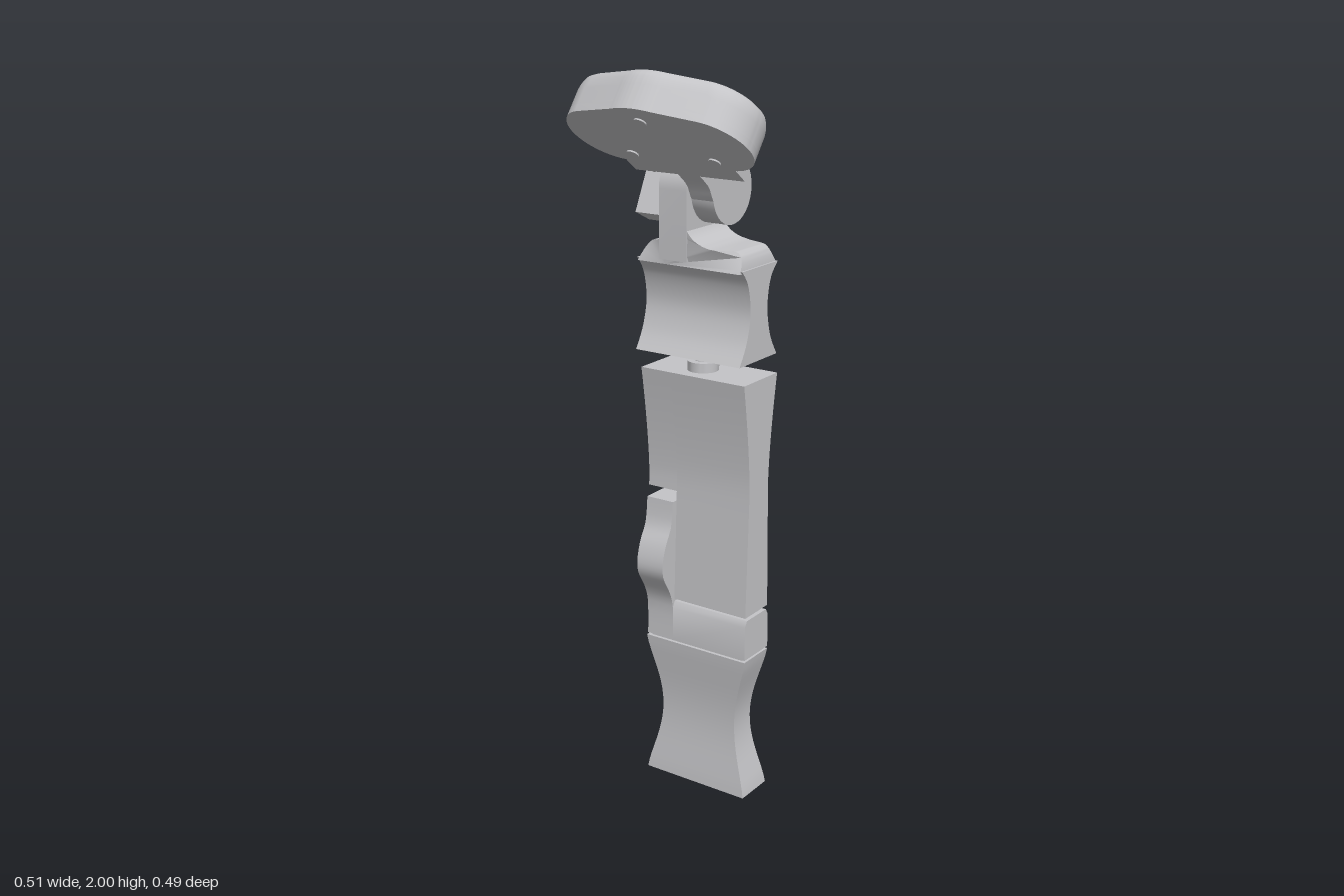
import * as THREE from 'three';
import { toCreasedNormals } from 'three/addons/utils/BufferGeometryUtils.js';

const V2 = (x, y) => new THREE.Vector2(x, y);

export function createModel() {
  const model = new THREE.Group();
  const grey = new THREE.MeshStandardMaterial({ color: 0xc4c4c7 });
  grey.name = 'light grey';

  const add = (name, geo, parent = model) => {
    const mesh = new THREE.Mesh(toCreasedNormals(geo, 0.6), grey);
    mesh.name = name;
    parent.add(mesh);
    return mesh;
  };
  // box given by its limits
  const box = (name, x0, x1, y0, y1, z0, z1, parent) => add(name,
    new THREE.BoxGeometry(x1 - x0, y1 - y0, z1 - z0)
      .translate((x0 + x1) / 2, (y0 + y1) / 2, (z0 + z1) / 2), parent);
  // side outline of [z, y] points, extruded from x0 to x1
  const sidePlate = (name, pts, x0, x1, parent) => {
    const shape = new THREE.Shape(pts.map(([z, y]) => V2(-z, y)));
    const geo = new THREE.ExtrudeGeometry(shape, { depth: x1 - x0, bevelEnabled: false });
    return add(name, geo.rotateY(Math.PI / 2).translate(x0, 0, 0), parent);
  };
  const smooth = (pts, n = 20) => new THREE.SplineCurve(pts.map(p => V2(...p)))
    .getPoints(n).map(p => [p.x, p.y]);
  const disc = (name, r, x0, x1, y, z, parent) => add(name,
    new THREE.CylinderGeometry(r, r, x1 - x0, 40).rotateZ(Math.PI / 2)
      .translate((x0 + x1) / 2, y, z), parent);

  // waisted lower handle
  const handle = new THREE.BoxGeometry(1, 1, 1, 1, 20, 1);
  const pos = handle.attributes.position;
  for (let i = 0; i < pos.count; i++) {
    const t = pos.getY(i) + 0.5, waist = Math.max(0, Math.sin(Math.PI * t)) ** 1.3;
    pos.setXYZ(i, -0.04 + pos.getX(i) * (0.325 - 0.085 * waist), t * 0.417,
      -0.141 + pos.getZ(i) * (0.116 - 0.036 * waist));
  }
  add('lowerHandle', handle);
  box('handleJoint', -0.19, 0.11, 0.41, 0.43, -0.19, -0.092);

  // elbow bracket: base and bulged side lever
  sidePlate('bracketBase', [[-0.085, 0.423], [-0.085, 0.52], [-0.095, 0.537], [-0.19, 0.537],
    [-0.2, 0.52], [-0.2, 0.423]], -0.115, 0.122);
  const lever = [
    ...smooth([[-0.085, 0.423], [-0.085, 0.52], [-0.07, 0.57], [-0.042, 0.62], [-0.038, 0.66],
      [-0.052, 0.71], [-0.078, 0.76], [-0.087, 0.83]]),
    ...smooth([[-0.198, 0.83], [-0.208, 0.76], [-0.234, 0.71], [-0.247, 0.66], [-0.243, 0.62],
      [-0.215, 0.57], [-0.2, 0.52], [-0.2, 0.423]])];
  sidePlate('sideLever', lever, -0.2, -0.115);
  disc('elbowPin', 0.025, -0.125, -0.1, 0.655, -0.143);

  // forearm with a notch for the lever
  const frontEdge = y => y > 0.9 ? -0.1 + 0.032 * ((y - 0.9) / 0.3) ** 1.5 : -0.1 + 0.014 * (0.9 - y) / 0.35;
  const backEdge = y => y > 0.9 ? -0.19 - 0.036 * ((y - 0.9) / 0.3) ** 1.5 : -0.19 - 0.006 * (0.9 - y) / 0.35;
  const forearm = (name, y0, x0, x1) => {
    const ys = Array.from({ length: 17 }, (_, i) => y0 + (1.2 - y0) * i / 16);
    sidePlate(name, [...ys.map(y => [frontEdge(y), y]),
      ...ys.reverse().map(y => [backEdge(y), y])], x0, x1);
  };
  forearm('forearm', 0.548, -0.11, 0.122);
  forearm('forearmShoulder', 0.86, -0.202, -0.11);
  box('forearmJoint', -0.1, 0.11, 0.53, 0.56, -0.18, -0.105);

  // wrist swivel
  const post = (name, r, y0, y1) => add(name,
    new THREE.CylinderGeometry(r, r, y1 - y0, 32).translate(-0.055, (y0 + y1) / 2, -0.143));
  post('swivelFlange', 0.042, 1.195, 1.226);
  post('swivelShaft', 0.022, 1.22, 1.26);
  post('swivelCollar', 0.03, 1.237, 1.248);

  // wrist block with hollow front and back
  sidePlate('wristBlock', [
    ...smooth([[-0.056, 1.25], [-0.085, 1.3], [-0.103, 1.36], [-0.103, 1.41], [-0.09, 1.46], [-0.065, 1.495]]),
    ...smooth([[-0.23, 1.495], [-0.2, 1.46], [-0.186, 1.41], [-0.186, 1.36], [-0.202, 1.3], [-0.232, 1.25]]),
  ], -0.21, 0.115);

  // saddle on the wrist, flaring into the upright and narrowing towards its ends
  const saddle = new THREE.Shape();
  saddle.moveTo(-0.205, 1.488).lineTo(-0.12, 1.488).lineTo(0.03, 1.488).lineTo(0.11, 1.488);
  saddle.quadraticCurveTo(0.105, 1.54, 0.08, 1.54).lineTo(0.03, 1.54);
  saddle.quadraticCurveTo(-0.03, 1.545, -0.05, 1.58).lineTo(-0.13, 1.58);
  saddle.quadraticCurveTo(-0.13, 1.545, -0.16, 1.545);
  saddle.quadraticCurveTo(-0.19, 1.54, -0.205, 1.488);
  const saddleGeo = new THREE.ExtrudeGeometry(saddle, { depth: 0.172, bevelEnabled: false, curveSegments: 10 })
    .translate(0, 0, -0.086);
  const sp = saddleGeo.attributes.position;
  for (let i = 0; i < sp.count; i++) {
    const out = Math.max(0, Math.abs(sp.getX(i) + 0.047) - 0.07) / 0.087;
    const taper = (sp.getY(i) - 1.488) / 0.052;
    sp.setZ(i, sp.getZ(i) * (1 - 0.35 * Math.min(1, out) * Math.min(1, taper)));
  }
  add('saddle', saddleGeo.translate(0, 0, -0.147));

  // upright with a round top
  const py = 1.68, pz = -0.147, pr = 0.088;
  const arch = Array.from({ length: 25 }, (_, i) => {
    const a = Math.PI * i / 24;
    return [pz + pr * Math.cos(a), py + pr * Math.sin(a)];
  });
  sidePlate('upright', [[pz + pr, 1.5], ...arch, [pz - pr, 1.5]], -0.135, -0.05);
  disc('tiltPin', 0.03, -0.06, -0.03, py, pz);

  // leaning motor beside the upright
  const motor = new THREE.Group();
  motor.name = 'motor';
  motor.position.set(0, 1.655, -0.147);
  motor.rotation.x = -0.45;
  model.add(motor);
  box('motorBody', -0.23, -0.145, -0.07, 0.07, -0.033, 0.033, motor);
  box('motorMount', -0.15, -0.13, -0.06, 0.06, -0.028, 0.028, motor);
  box('motorLug', -0.206, -0.198, 0.04, 0.066, 0.03, 0.062, motor);

  // tilted head: local z runs out to the tip, local y is the pad's upper face
  const head = new THREE.Group();
  head.name = 'head';
  head.position.set(0, py, pz);
  head.rotation.x = -0.6435;
  model.add(head);
  disc('headKnuckle', pr, -0.036, 0.03, 0, 0, head);
  sidePlate('headArm', [...smooth([[0.155, -0.045], [0.1, -0.047], [0.06, -0.065], [0, -0.085]], 10),
    ...smooth([[0, 0.085], [0.06, 0.065], [0.1, 0.047], [0.155, 0.045]], 10)], -0.036, 0.03, head);
  box('crossBar', -0.163, 0.16, -0.045, 0.048, 0.148, 0.21, head);

  // pad outline
  const outline = () => {
    const s = new THREE.Shape();
    s.moveTo(0, 0.459).quadraticCurveTo(-0.03, 0.459, -0.06, 0.449).lineTo(-0.17, 0.424);
    s.bezierCurveTo(-0.22, 0.412, -0.255, 0.36, -0.255, 0.31);
    s.bezierCurveTo(-0.255, 0.25, -0.21, 0.197, -0.14, 0.197).lineTo(0.14, 0.197);
    s.bezierCurveTo(0.21, 0.197, 0.255, 0.25, 0.255, 0.31);
    s.bezierCurveTo(0.255, 0.36, 0.22, 0.412, 0.17, 0.424).lineTo(0.06, 0.449);
    return s.quadraticCurveTo(0.03, 0.459, 0, 0.459);
  };
  // round wells and two finger slots
  const pad = outline();
  const round = (x, y, r) => pad.holes.push(new THREE.Path().absarc(x, y, r, 0, Math.PI * 2, true));
  round(0, 0.307, 0.045);
  round(0, 0.4, 0.019);
  for (const s of [-1, 1]) {
    round(s * 0.09, 0.4, 0.01);
    const slot = [[0.1, 0.252], [0.075, 0.272], [0.087, 0.31], [0.115, 0.355], [0.16, 0.378],
      [0.202, 0.355], [0.222, 0.31], [0.205, 0.27], [0.165, 0.252]].map(([x, y]) => V2(s * x, y));
    const curve = new THREE.SplineCurve([...slot, slot[0]]);
    pad.holes.push(new THREE.Path(curve.getPoints(40).slice(0, -1)));
  }
  const padGeo = new THREE.ExtrudeGeometry(pad, { depth: 0.09, steps: 12, bevelEnabled: false, curveSegments: 16 });
  // draw the outer rim in towards the upper face to round it over
  const rim = pad.getPoints(16);
  const pp = padGeo.attributes.position;
  for (let i = 0; i < pp.count; i++) {
    const p = V2(pp.getX(i), pp.getY(i));
    if (!rim.some(q => q.distanceTo(p) < 1e-4)) continue;
    const t = Math.max(0, 1 - pp.getZ(i) / 0.045);
    const k = 1 - Math.sqrt(1 - t * t);
    const pull = p.y < 0.31 ? 0.18 : 0.09;
    pp.setXY(i, p.x * (1 - 0.08 * k), 0.31 + (p.y - 0.31) * (1 - pull * k));
  }
  add('headPad', padGeo.rotateX(Math.PI / 2).translate(0, 0.065, 0), head);
  // closed underside
  const floor = new THREE.ExtrudeGeometry(outline(), { depth: 0.02, bevelEnabled: false, curveSegments: 16 });
  add('padFloor', floor.rotateX(Math.PI / 2).translate(0, -0.025, 0), head);

  // screw heads under the pad and on its rear edge
  const screw = (x, y, z, tilt) => add('padScrew', new THREE.CylinderGeometry(0.016, 0.016, 0.012, 20), head)
    .position.set(x, y, z).parent ?? tilt;
  for (const [x, z] of [[-0.12, 0.235], [0.12, 0.235], [0, 0.4]]) screw(x, -0.043, z);
  for (const x of [-0.12, 0.12]) screw(x, 0.056, 0.226);

  return model;
}
